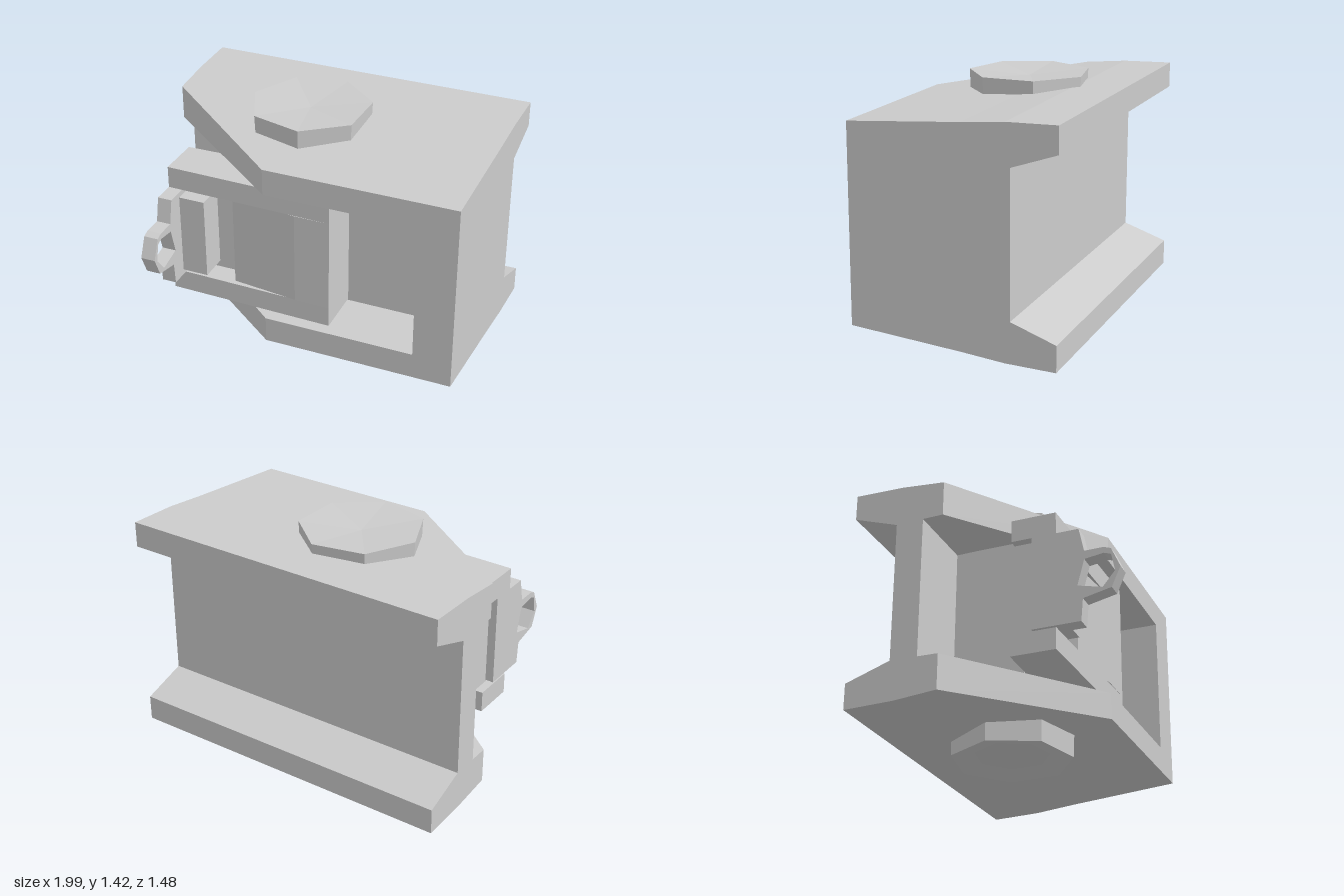
import * as THREE from 'three';

const material = new THREE.MeshStandardMaterial({ color: 0xcccccc, flatShading: true });
const MID = 0.72; // height of the mirror plane of the housing

const toShape = (pts) => new THREE.Shape(pts.map(([a, b]) => new THREE.Vector2(a, b)));

function addMesh(group, name, geometry) {
  const mesh = new THREE.Mesh(geometry, material);
  mesh.name = name;
  group.add(mesh);
}

// Profile given as [z, y], run along x between ends that may depend on z
function alongX(pts, left, right, hole) {
  const shape = toShape(pts);
  if (hole) shape.holes.push(toShape(hole));
  const g = new THREE.ExtrudeGeometry(shape, { depth: 1, bevelEnabled: false });
  g.rotateY(-Math.PI / 2);
  const p = g.attributes.position;
  for (let i = 0; i < p.count; i++) {
    const z = p.getZ(i);
    p.setX(i, p.getX(i) < -0.5 ? left(z) : right(z));
  }
  g.computeVertexNormals();
  return g;
}

// Outline given as [x, z], run upwards from y0 to y1
function alongY(pts, y0, y1) {
  const g = new THREE.ExtrudeGeometry(toShape(pts), { depth: y1 - y0, bevelEnabled: false });
  return g.rotateX(Math.PI / 2).translate(0, y1, 0);
}

const rect = (z0, z1, y0, y1) => [[z0, y0], [z1, y0], [z1, y1], [z0, y1]];

// Seven-sided boss from a radius/height profile
function boss(profile) {
  const pts = profile.map(([r, y]) => new THREE.Vector2(r, y));
  const g = new THREE.LatheGeometry(pts, 7, 2.89, Math.PI * 2).toNonIndexed();
  g.computeVertexNormals();
  return g.translate(-0.13, 0, -0.145);
}

export function createModel() {
  const root = new THREE.Group();
  root.name = 'latchHousing';

  // Housing ends: slightly tapered on one side, cut diagonally on the other
  const rightEnd = (z) => 1 - 0.025 * (z + 0.74);
  const leftEnd = (z) => -0.99 + 0.83 * Math.max(0, z + 0.2) / 0.66;

  const housing = new THREE.Group();
  housing.name = 'housing';
  root.add(housing);

  // Upper and lower flanges, mirrored
  const rearFlange = [[-0.74, 1.22], [-0.74, 1.37], [-0.45, 1.363], [-0.2, 1.34], [-0.2, 1.135], [-0.48, 1.13]];
  const frontFlange = [[-0.2, 1.34], [0.46, 1.29], [0.46, 1.135], [-0.2, 1.135]];
  for (const side of ['upper', 'lower']) {
    const place = (pts) => pts.map(([z, y]) => [z, side === 'upper' ? y : 2 * MID - y]);
    addMesh(housing, side + 'RearFlange', alongX(place(rearFlange), leftEnd, rightEnd));
    addMesh(housing, side + 'FrontFlange', alongX(place(frontFlange), leftEnd, rightEnd));
  }

  // Web, pocket floor and the solid post closing the pocket
  addMesh(housing, 'web', alongX(rect(-0.48, -0.32, 0.305, 1.135), leftEnd, rightEnd));
  addMesh(housing, 'pocketFloor', alongX(rect(-0.32, 0.1, 0.305, 1.135), () => -0.55, rightEnd));
  addMesh(housing, 'endPost', alongX(rect(0.1, 0.46, 0.305, 1.135), () => 0.74, rightEnd));

  // Pivot bosses above and below, with dished ends
  addMesh(root, 'topBoss', boss([[0.345, 1.2], [0.355, 1.42], [0, 1.395]]));
  addMesh(root, 'bottomBoss', boss([[0, 0.05], [0.22, 0.03], [0.35, 0], [0.355, 0.22]]));

  // Sliding bolt: two arms around a sloping panel
  const slide = new THREE.Group();
  slide.name = 'slidingBolt';
  root.add(slide);
  const arm = [[-0.79, 0.12], [0.21, 0.1], [0.21, 0.4], [-0.79, 0.38]];
  addMesh(slide, 'upperArm', alongY(arm, 1.0, 1.13));
  addMesh(slide, 'lowerArm', alongY(arm, 0.315, 0.44));
  addMesh(slide, 'panel', alongY([
    [0.21, 0.1], [0.21, 0.4], [0, 0.4], [-0.4, 0.355], [-0.42, 0.25], [-0.74, 0.25], [-0.74, 0.12],
  ], 0.44, 1.0));
  addMesh(slide, 'plate', alongY([[-0.71, 0.24], [-0.55, 0.24], [-0.55, 0.42], [-0.71, 0.42]], 0.48, 0.97));

  // Lug with a pull ring
  addMesh(slide, 'ringLug', alongX(
    [[0.24, 0.45], [0.52, 0.45], [0.53, 0.58], [0.69, 0.615], [0.74, 0.73], [0.69, 0.845], [0.65, 0.86],
      [0.54, 0.86], [0.51, 1.0], [0.24, 1.0]],
    () => -0.79, () => -0.705,
    [[0.5, 0.66], [0.64, 0.625], [0.71, 0.71], [0.69, 0.81], [0.65, 0.825], [0.54, 0.81]],
  ));

  return root;
}
